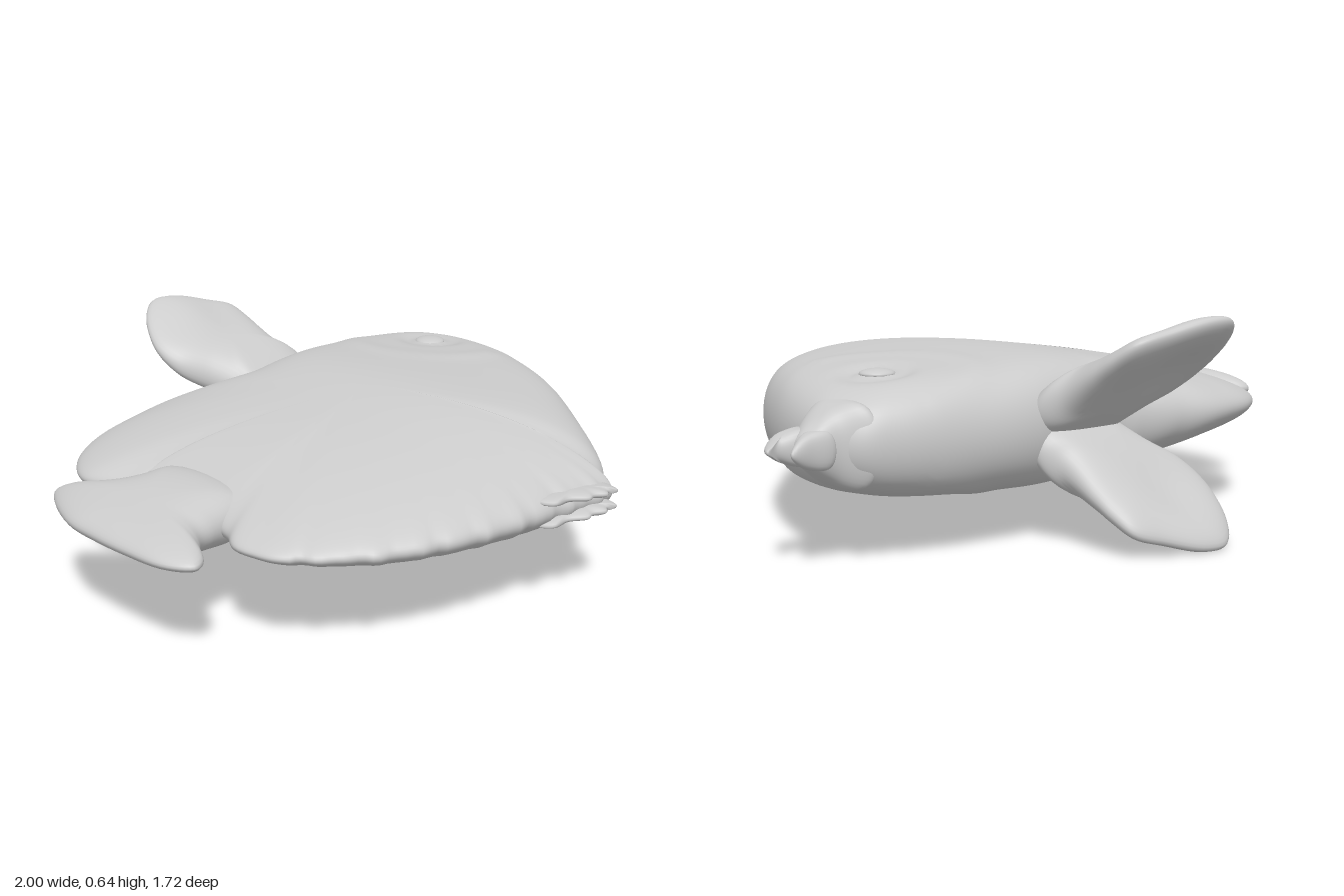
import * as THREE from 'three';
import { mergeVertices } from 'three/addons/utils/BufferGeometryUtils.js';

const MID = 0.32; // height of the plane of symmetry
const grey = new THREE.MeshStandardMaterial({ color: 0xcccccc, side: THREE.DoubleSide });

// Smooth curve through value pairs, as a function of one number
function curve(xs, ys) {
  const c = new THREE.CubicInterpolant(xs, ys, 1);
  return (x) => c.evaluate(x)[0];
}

// Pillow-shaped solid inside a closed outline of [x, z, edge fullness].
// half(x, z) is the half thickness, mid(x, z) the height of the middle surface.
function pillow(name, outline, [cx, cz], half, { mid = () => 0, ripple = () => 0, n = 96, rows = 24 } = {}) {
  const path = new THREE.CatmullRomCurve3(outline.map(([x, z, k = 4]) => new THREE.Vector3(x, k, z)), true, 'centripetal');
  const rim = Array.from({ length: n }, (_, i) => path.getPoint(i / n));
  let area = 0;
  rim.forEach((p, i) => {
    const q = rim[(i + 1) % n];
    area += p.x * q.z - q.x * p.z;
  });
  if (area > 0) rim.reverse();
  const pos = [], index = [];
  for (let r = 0; r <= rows; r++) {
    const a = (r / rows) * Math.PI;
    const s = r === rows ? 0 : Math.sin(a);
    const side = r * 2 === rows ? 0 : Math.sign(Math.cos(a));
    for (const p of rim) {
      const grow = s * (1 + s ** 8 * ripple(p.x, p.z));
      const x = cx + (p.x - cx) * grow, z = cz + (p.z - cz) * grow;
      const y = side * half(x, z) * Math.sqrt(Math.max(0, 1 - s ** p.y));
      pos.push(x, MID + mid(x, z) + y, z);
    }
  }
  for (let r = 0; r < rows; r++) {
    for (let i = 0; i < n; i++) {
      const a = r * n + i, b = r * n + (i + 1) % n, c = a + n, d = b + n;
      if (r > 0) index.push(a, d, b);
      if (r < rows - 1) index.push(a, c, d);
    }
  }
  let geo = new THREE.BufferGeometry();
  geo.setAttribute('position', new THREE.Float32BufferAttribute(pos, 3));
  geo.setIndex(index);
  geo = mergeVertices(geo, 1e-5);
  geo.computeVertexNormals();
  const mesh = new THREE.Mesh(geo, grey);
  mesh.name = name;
  return mesh;
}

export function createModel() {
  const fish = new THREE.Group();
  fish.name = 'fish';

  // Body with its dorsal and anal lobes, thick at the head and thin behind
  const along = curve(
    [-0.8, -0.6, -0.2, 0.08, 0.4, 0.7, 0.9],
    [0.075, 0.115, 0.172, 0.2, 0.184, 0.163, 0.14]);
  const bodyHalf = (x, z) => {
    const d = Math.hypot(x - 0.59, z + 0.2);
    const socket = -0.014 * Math.exp(-((d - 0.075) ** 2) / 0.0012);
    const gill = 0.006 * Math.exp(-((d - 0.27) ** 2) / 0.002) * (x < 0.6 ? 1 : 0.3);
    return along(x) * (1 - 0.5 * z * z) + socket + gill;
  };
  const bodyOutline = [
    [0.28, -0.52, 9], [0.5, -0.5, 11], [0.7, -0.45, 13], [0.8, -0.4, 12], [0.85, -0.3, 11], [0.835, -0.18, 12],
    [0.78, 0, 13], [0.69, 0.2, 12], [0.6, 0.35, 11], [0.45, 0.54, 9], [0.28, 0.73, 6], [0.2, 0.77, 4],
    [0.16, 0.82, 3], [0.08, 0.81, 3], [-0.03, 0.79, 3], [-0.2, 0.77, 3], [-0.4, 0.72, 3], [-0.58, 0.64, 3],
    [-0.7, 0.54, 3], [-0.77, 0.46, 3], [-0.79, 0.38, 3], [-0.75, 0.25, 4], [-0.73, 0.1, 5], [-0.72, -0.12, 5],
    [-0.74, -0.2, 4], [-0.78, -0.33, 4], [-0.72, -0.45, 4], [-0.6, -0.54, 4], [-0.45, -0.58, 4],
    [-0.25, -0.565, 5], [-0.13, -0.52, 6], [-0.05, -0.49, 7], [0.1, -0.5, 8],
  ];
  const ragged = (x, z) => (z > 0.5 && x < 0.2 ? 0.006 * Math.sin(x * 62) + 0.004 * Math.sin(x * 105) : 0);
  fish.add(pillow('body', bodyOutline, [0, 0.05], bodyHalf, { ripple: ragged, n: 280, rows: 64 }));

  // Tail fin
  const tailHalf = curve([-1, -0.9, -0.78, -0.6], [0.035, 0.055, 0.08, 0.1]);
  fish.add(pillow('tailFin', [
    [-0.6, -0.12], [-0.7, -0.15], [-0.76, -0.18], [-0.81, -0.23], [-0.86, -0.3], [-0.89, -0.31], [-0.93, -0.26],
    [-0.99, -0.11], [-1, 0], [-1, 0.14], [-0.985, 0.29], [-0.94, 0.355], [-0.9, 0.34], [-0.86, 0.28],
    [-0.82, 0.24], [-0.76, 0.23], [-0.6, 0.2],
  ], [-0.84, 0.03], (x, z) => tailHalf(x) * (1 - 2 * z * z)));

  // Pair of splayed fins on the back edge
  const finOutline = [
    [0.24, -0.4], [0.28, -0.5], [0.24, -0.57], [0.225, -0.66], [0.215, -0.72], [0.19, -0.78], [0.1, -0.82],
    [-0.02, -0.86], [-0.1, -0.86], [-0.17, -0.8], [-0.21, -0.7], [-0.19, -0.63], [-0.1, -0.55],
    [-0.05, -0.49], [0, -0.4],
  ];
  const finHalf = curve([-0.87, -0.7, -0.55, -0.4], [0.045, 0.052, 0.085, 0.1]);
  for (const side of [1, -1]) {
    fish.add(pillow(side > 0 ? 'upperFin' : 'lowerFin', finOutline, [0.04, -0.65], (x, z) => finHalf(z), {
      // The broad end is slightly cupped on its inner face
      mid: (x, z) => side * (0.09 + 0.67 * (-z - 0.55) + 0.018 * Math.exp(-((x + 0.03) ** 2 + (z + 0.73) ** 2) / 0.01)),
    }));
  }

  // Snout and the two parted lips
  fish.add(pillow('snout', [
    [0.74, -0.42], [0.83, -0.375], [0.9, -0.355], [0.925, -0.31], [0.89, -0.25], [0.83, -0.2], [0.74, -0.16],
  ], [0.82, -0.3], curve([0.74, 0.82, 0.88, 0.93], [0.13, 0.1, 0.065, 0.045])));
  const lipHalf = curve([0.85, 0.91, 0.98], [0.055, 0.045, 0.015]);
  fish.add(pillow('upperLip', [
    [0.84, -0.37], [0.91, -0.37], [0.97, -0.365], [0.955, -0.34], [0.91, -0.305], [0.84, -0.3],
  ], [0.9, -0.34], lipHalf, { n: 40, rows: 16 }));
  fish.add(pillow('lowerLip', [
    [0.84, -0.31], [0.91, -0.305], [0.96, -0.285], [0.995, -0.295], [0.98, -0.255], [0.94, -0.215], [0.9, -0.22], [0.84, -0.23],
  ], [0.92, -0.265], lipHalf, { n: 40, rows: 16 }));

  // Eyes, one on each flat side
  for (const side of [1, -1]) {
    const eye = new THREE.Mesh(new THREE.SphereGeometry(0.05, 24, 16), grey);
    eye.name = side > 0 ? 'upperEye' : 'lowerEye';
    eye.scale.y = 0.3;
    eye.position.set(0.585, MID + side * 0.158, -0.2);
    fish.add(eye);
  }

  // Two thin ragged fins on the belly edge
  for (const side of [1, -1]) {
    fish.add(pillow(side > 0 ? 'upperBellyFin' : 'lowerBellyFin', [
      [0.2, 0.74], [0.185, 0.8], [0.165, 0.855], [0.14, 0.84], [0.115, 0.855], [0.08, 0.835], [0.05, 0.84],
      [0, 0.805], [-0.06, 0.8], [-0.08, 0.76], [0.05, 0.7],
    ], [0.08, 0.77], () => 0.014, { mid: (x) => side * (0.022 + 0.04 * (0.2 - x)), n: 60, rows: 12 }));
  }

  return fish;
}
